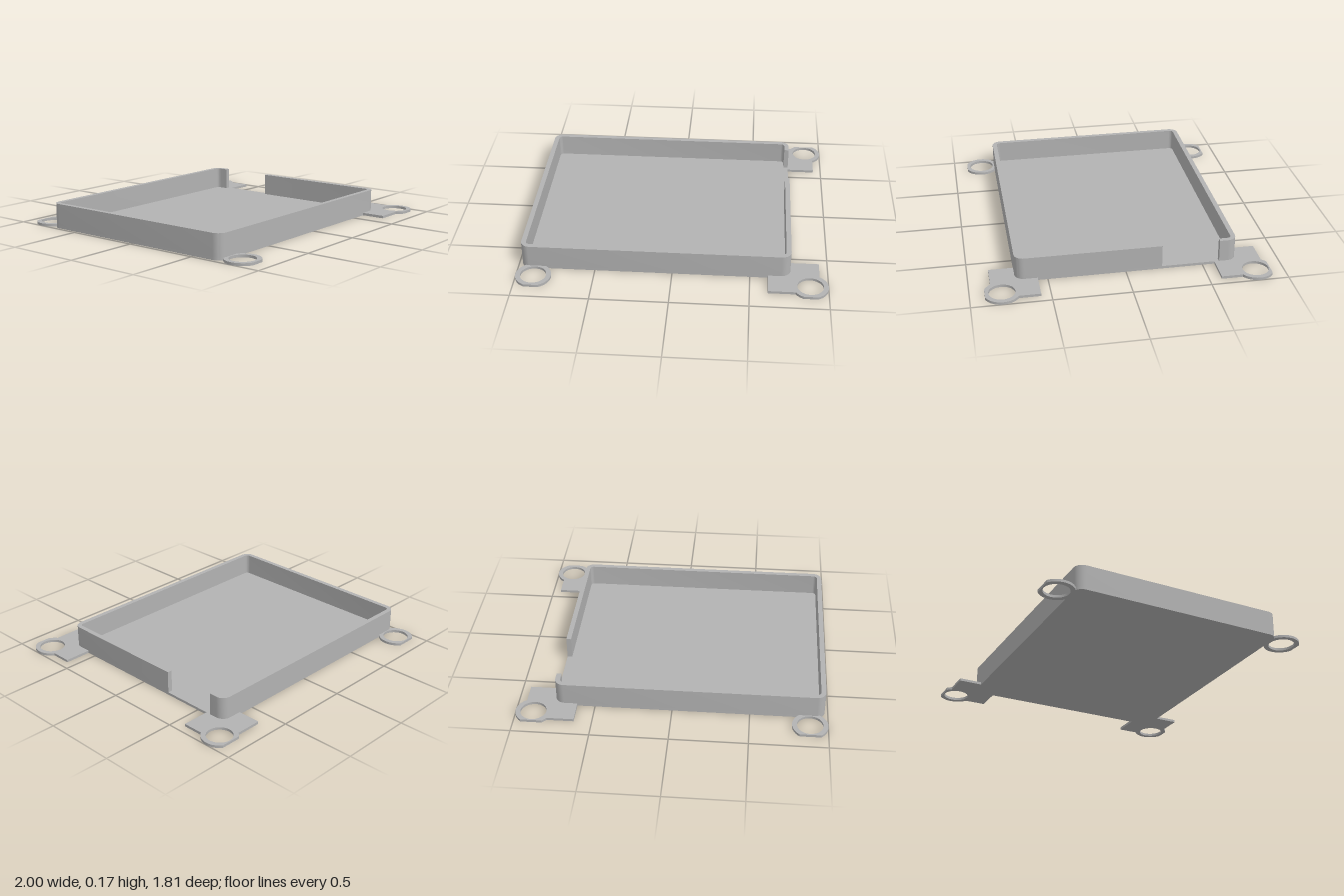
import * as THREE from 'three';
import { toCreasedNormals } from 'three/addons/utils/BufferGeometryUtils.js';

const X0 = -0.98, X1 = 0.76, Z0 = -0.724, Z1 = 0.706; // tray outline
const WALL = 0.032, PLATE = 0.017, HEIGHT = 0.165;
const R_OUT = 0.06, R_IN = 0.025;
const GAP_BACK = -0.61, GAP_FRONT = -0.235; // opening in the left wall

export function createModel() {
  const group = new THREE.Group();
  const grey = new THREE.MeshStandardMaterial({ color: 0xb2b2b2 });
  grey.name = 'grey';

  // Extrude a plan drawing (x, -z) upwards from a base height
  function addPlan(name, shape, base, height) {
    let geo = new THREE.ExtrudeGeometry(shape, { depth: height, bevelEnabled: false, curveSegments: 32 });
    geo.rotateX(-Math.PI / 2);
    geo.translate(0, base, 0);
    geo = toCreasedNormals(geo, 0.5);
    const mesh = new THREE.Mesh(geo, grey);
    mesh.name = name;
    group.add(mesh);
  }

  function arc(cx, cy, r, a0, a1, n) {
    const pts = [];
    for (let i = 0; i <= n; i++) {
      const a = a0 + (a1 - a0) * i / n;
      pts.push(new THREE.Vector2(cx + r * Math.cos(a), cy + r * Math.sin(a)));
    }
    return pts;
  }

  // Four rounded corners, counter-clockwise from front left to back left
  function corners(inset, r) {
    const l = X0 + inset + r, h = X1 - inset - r;
    const f = -(Z1 - inset - r), b = -(Z0 + inset + r), q = Math.PI / 2;
    return [
      ...arc(l, f, r, 2 * q, 3 * q, 10),
      ...arc(h, f, r, 3 * q, 4 * q, 10),
      ...arc(h, b, r, 0, q, 10),
      ...arc(l, b, r, q, 2 * q, 10),
    ];
  }

  // Tray floor
  addPlan('trayFloor', new THREE.Shape(corners(0, R_OUT)), 0, PLATE);

  // Wall running round the tray, open between the two gap positions
  const v = (x, z) => new THREE.Vector2(x, -z);
  const run = (inset, r) => {
    const c = corners(inset, r);
    return [v(X1 - inset, GAP_BACK), ...c.slice(22), ...c.slice(0, 22), v(X1 - inset, GAP_FRONT)];
  };
  const wall = new THREE.Shape([...run(0, R_OUT), ...run(WALL, R_IN).reverse()]);
  addPlan('trayWall', wall, PLATE, HEIGHT - PLATE);

  // Mounting ears: rings with a trimmed outer edge, the left pair on plates
  const RING = 0.115, HOLE = 0.084, CX = 0.885;
  const ears = [
    { name: 'back', s: 1, cz: 0.815, trim: 0.093 },
    { name: 'front', s: -1, cz: 0.8, trim: 0.106 },
  ];
  for (const { name, s, cz, trim } of ears) {
    const t = Math.asin(trim / RING);
    const place = (pts, cx) => {
      const shape = new THREE.Shape(pts.map(p => new THREE.Vector2(cx + p.x, s * (cz + p.y))));
      shape.holes.push(new THREE.Path(arc(cx, s * cz, HOLE, 0, 2 * Math.PI, 48).slice(0, -1)));
      return shape;
    };

    const ring = arc(0, 0, RING, Math.PI - t, 2 * Math.PI + t, 48);
    addPlan(name + 'RightRing', place(ring, -CX), 0, PLATE);

    const top = 0.065, side = 0.06;
    const plate = [
      new THREE.Vector2(-0.27, top),
      new THREE.Vector2(-0.27, -0.236),
      new THREE.Vector2(side, -0.236),
      ...arc(0, 0, RING, -Math.acos(side / RING), t, 24),
      ...arc(0, 0, RING, Math.PI - t, Math.PI - Math.asin(top / RING), 8),
    ];
    addPlan(name + 'LeftTab', place(plate, CX), 0, PLATE);
  }

  return group;
}
